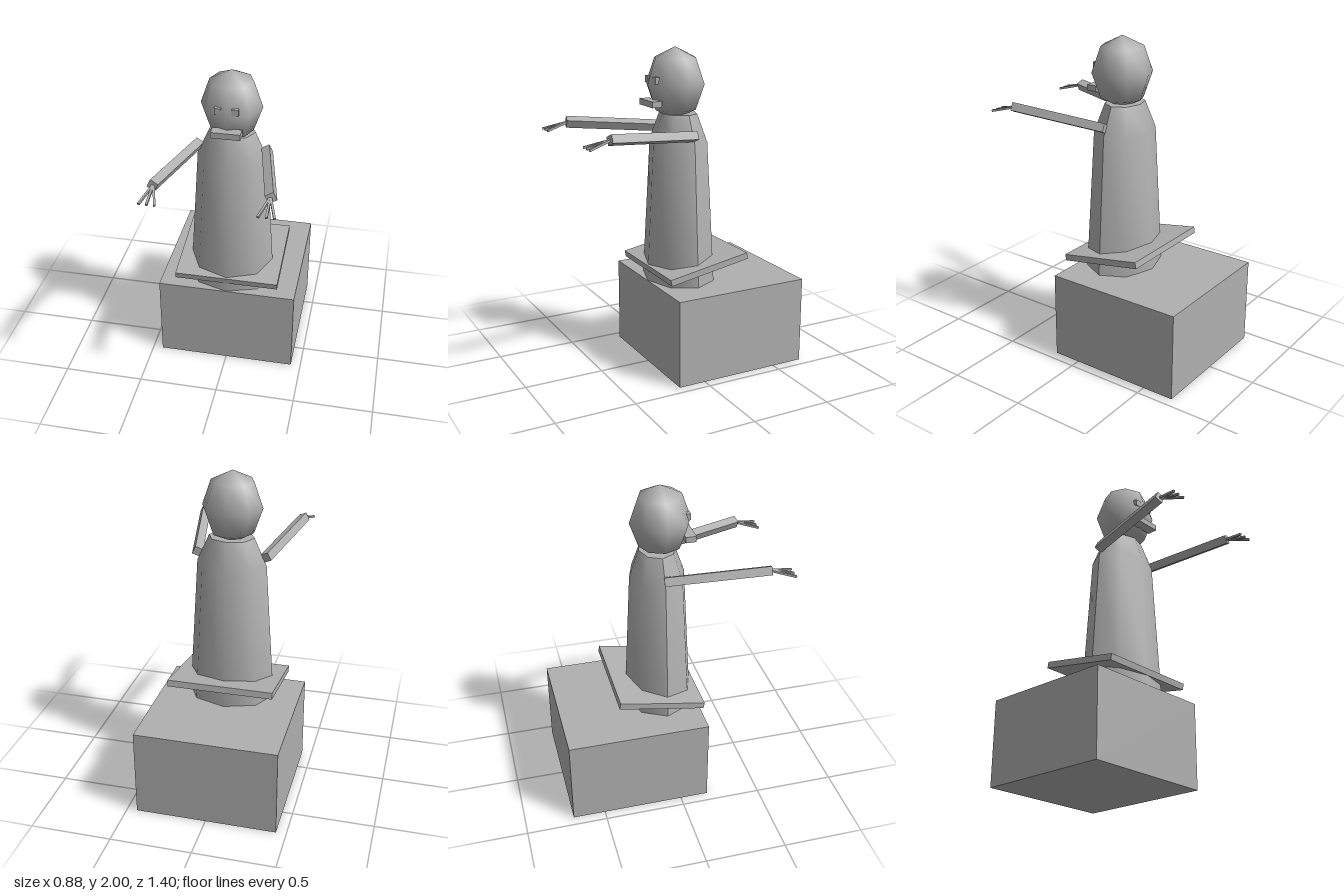
import * as THREE from 'three';
import { toCreasedNormals } from 'three/addons/utils/BufferGeometryUtils.js';

export function createModel() {
  const model = new THREE.Group();
  model.name = 'seatedFigure';
  const grey = new THREE.MeshStandardMaterial({ color: 0xb0b0b0 });
  grey.name = 'plain grey';

  const add = (name, geometry, parent = model) => {
    const mesh = new THREE.Mesh(geometry, grey);
    mesh.name = name;
    parent.add(mesh);
    return mesh;
  };
  const box = (name, size, pos, parent) => {
    const mesh = add(name, new THREE.BoxGeometry(...size), parent);
    mesh.position.set(...pos);
    return mesh;
  };
  // Square bar running from one point to another, rolled about its own axis
  const bar = (name, from, to, thickness, roll, parent) => {
    const a = new THREE.Vector3(...from), b = new THREE.Vector3(...to);
    const geometry = new THREE.BoxGeometry(thickness, thickness, a.distanceTo(b));
    geometry.rotateZ(roll);
    const mesh = add(name, geometry, parent);
    mesh.position.copy(a).lerp(b, 0.5);
    mesh.lookAt(b);
  };

  // Base block and tilted board
  box('baseBlock', [0.875, 0.55, 0.875], [0, 0.275, -0.263]);
  box('tiltedBoard', [0.655, 0.04, 0.54], [0, 0.68, -0.092]).rotation.x = 0.175;

  // Tapered eight-sided body with sloping shoulders
  const profile = [[0.272, 0.55], [0.215, 1.43], [0.14, 1.6], [0, 1.6]]
    .map(([r, y]) => new THREE.Vector2(r, y));
  const body = new THREE.LatheGeometry(profile, 8);
  body.scale(1, 1, 0.79);
  add('body', toCreasedNormals(body, THREE.MathUtils.degToRad(50))).position.z = -0.043;

  // Head, with mouth and eyes
  const head = new THREE.SphereGeometry(1, 8, 4);
  head.scale(0.185, 0.22, 0.185);
  add('head', head).position.set(0, 1.78, -0.022);
  box('mouth', [0.175, 0.037, 0.065], [0, 1.672, 0.143]);

  for (const [side, s] of [['left', 1], ['right', -1]]) {
    box(side + 'Eye', [0.04, 0.04, 0.04], [s * 0.05, 1.81, 0.125]);

    // Outstretched arm and three spread fingers
    const arm = new THREE.Group();
    arm.name = side + 'Arm';
    model.add(arm);
    bar(side + 'Forearm', [s * 0.21, 1.485, -0.05], [s * 0.33, 1.54, 0.56], 0.052, s * 0.44, arm);
    for (const x of [0.282, 0.328, 0.372]) {
      bar(side + 'Finger', [s * 0.326, 1.54, 0.55], [s * x, 1.502, 0.7], 0.013, 0, arm);
    }
  }
  return model;
}
